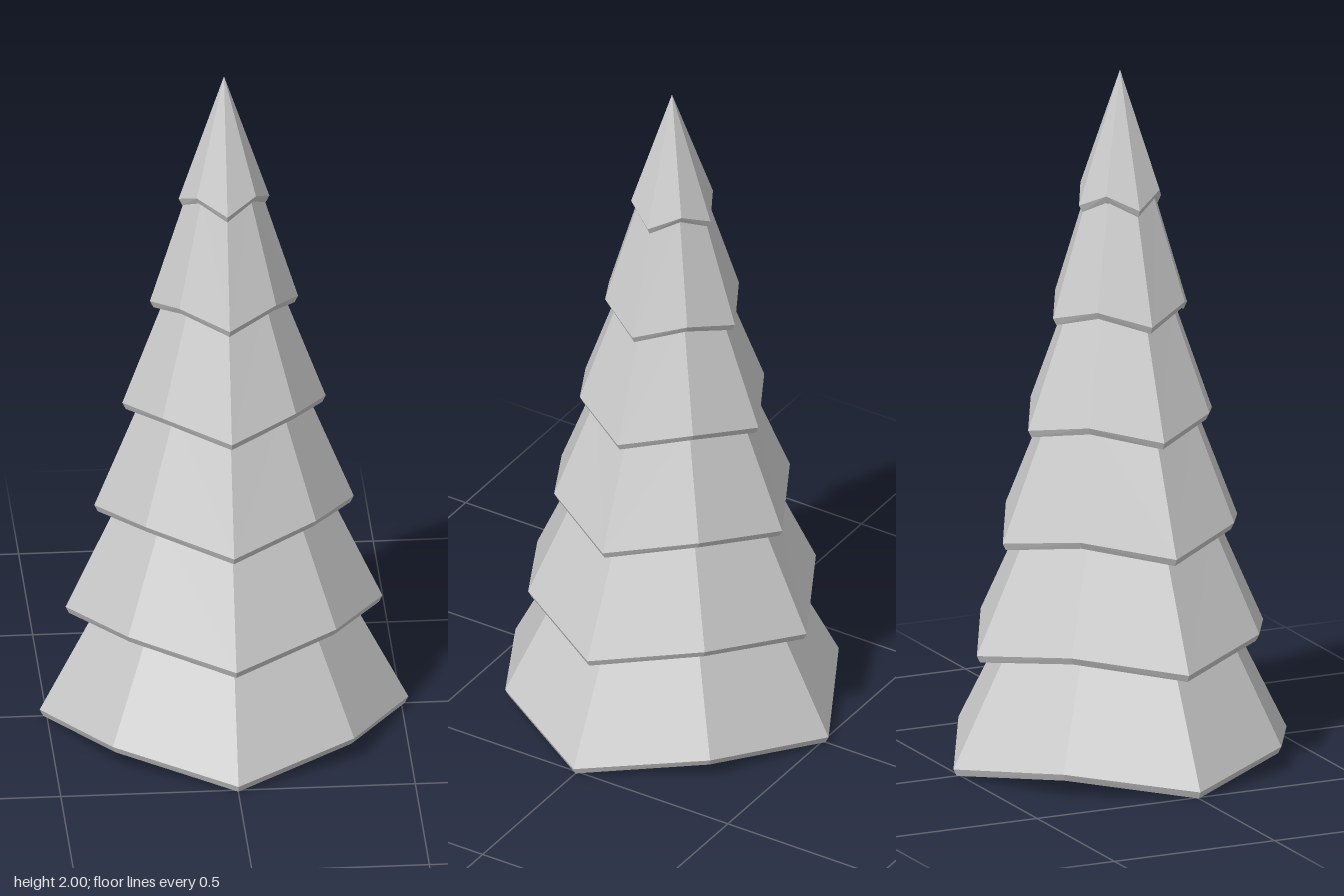
import * as THREE from 'three';

const SIDES = 8;

// Eight-sided ring; even corners lie on the axes, odd corners on the diagonals.
function ring(rAxis, yAxis, rDiag, yDiag) {
  return Array.from({ length: SIDES }, (_, i) => {
    const a = (i / SIDES) * Math.PI * 2;
    const r = i % 2 ? rDiag : rAxis;
    return [Math.sin(a) * r, i % 2 ? yDiag : yAxis, Math.cos(a) * r];
  });
}

// Skins a stack of rings listed from bottom to top.
function loft(rings) {
  const pos = [];
  for (let k = 0; k < rings.length - 1; k++) {
    const lo = rings[k], hi = rings[k + 1];
    for (let i = 0; i < SIDES; i++) {
      const j = (i + 1) % SIDES;
      // split every quad the same way on both sides of a corner
      if (i % 2) pos.push(...lo[i], ...lo[j], ...hi[i], ...lo[j], ...hi[j], ...hi[i]);
      else pos.push(...lo[i], ...lo[j], ...hi[j], ...lo[i], ...hi[j], ...hi[i]);
    }
  }
  const geo = new THREE.BufferGeometry();
  geo.setAttribute('position', new THREE.Float32BufferAttribute(pos, 3));
  geo.computeVertexNormals();
  return geo;
}

// Per tier: rim radius, rim height, diagonal rim radius, top radius, top height
const TIERS = [
  [0.52, 0.02, 0.481, 0.33, 0.39],
  [0.447, 0.342, 0.415, 0.283, 0.7],
  [0.366, 0.66, 0.34, 0.222, 1.02],
  [0.287, 0.98, 0.266, 0.155, 1.34],
  [0.209, 1.298, 0.193, 0.1, 1.65],
  [0.128, 1.618, 0.118, 0, 2],
];

export function createModel() {
  const tree = new THREE.Group();
  tree.name = 'coniferTree';
  const material = new THREE.MeshStandardMaterial({ color: 0xcccccc, flatShading: true });

  TIERS.forEach(([r, y, rd, rTop, yTop], i) => {
    const low = y - 0.02;
    const lift = i < 3 ? 0.048 : 0.042; // diagonal corners curl upward
    const inner = r * 0.72;
    const geo = loft([
      ring(0, low + 0.022, 0, low + 0.022),               // underside centre
      ring(inner, low + 0.022, inner * 0.97, low + 0.03), // underside
      ring(r - 0.01, low, rd - 0.01, low + lift),         // lower rim edge
      ring(r, y, rd, y + lift),                           // upper rim edge
      ring(rTop, yTop, rTop * 0.97, yTop),                // top of the slope
    ]);
    const tier = new THREE.Mesh(geo, material);
    tier.name = `branchTier${i + 1}`;
    tree.add(tier);
  });
  return tree;
}
